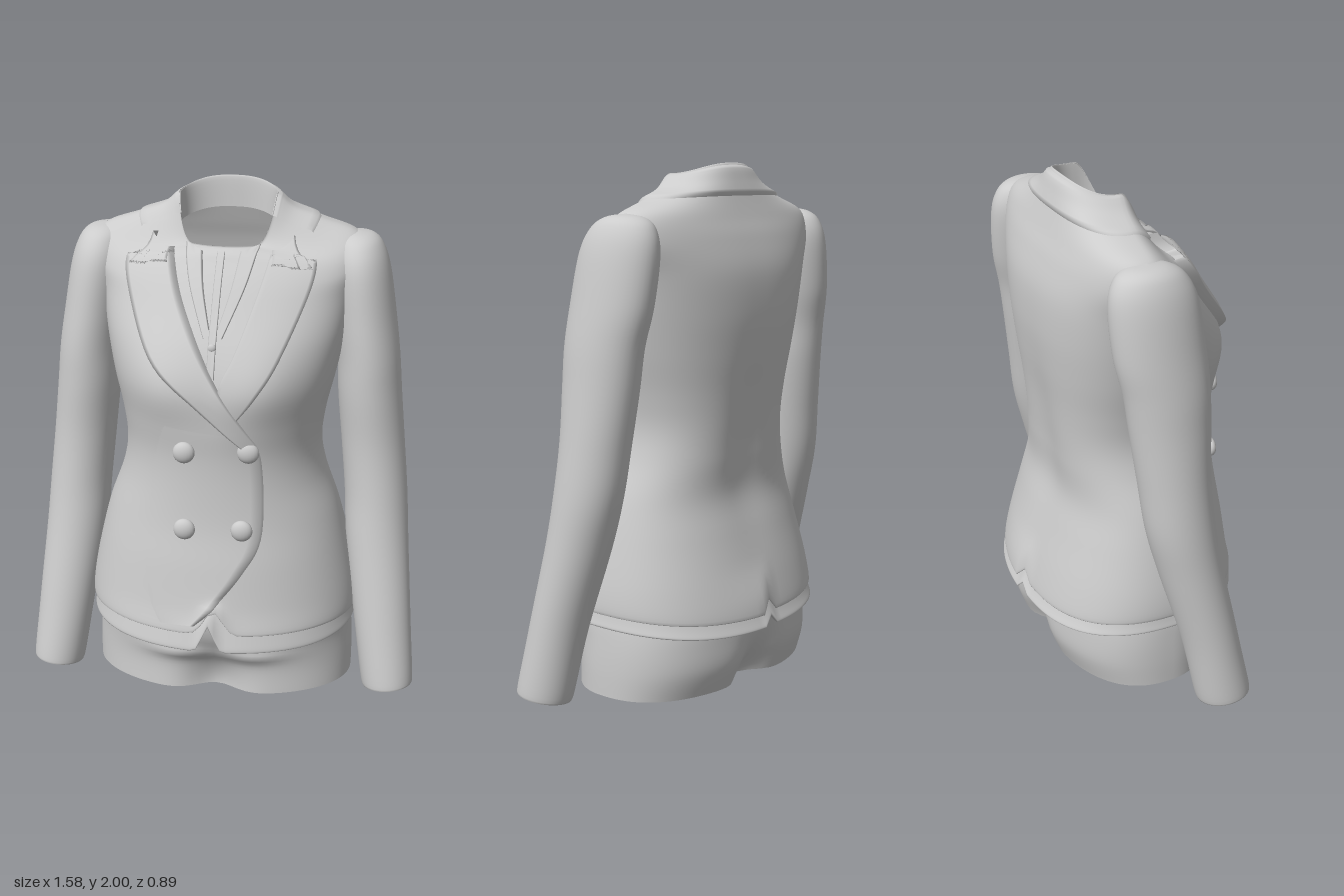
import * as THREE from 'three';

const material = new THREE.MeshStandardMaterial({ color: 0xcccccc, side: THREE.DoubleSide, roughness: 0.8 });
const clamp = THREE.MathUtils.clamp;
const smooth = THREE.MathUtils.smoothstep;
const bump = (d, r) => Math.exp(-(d * d) / (r * r));

// Surface from fn(u, v) -> [x, y, z]; wrap closes it in u
function grid(name, fn, nu, nv, wrap = false) {
  const pos = [], index = [], cols = wrap ? nu : nu + 1;
  for (let j = 0; j <= nv; j++)
    for (let i = 0; i < cols; i++) pos.push(...fn(i / nu, j / nv));
  for (let j = 0; j < nv; j++)
    for (let i = 0; i < nu; i++) {
      const a = j * cols + i, b = j * cols + ((i + 1) % cols), c = a + cols, d = b + cols;
      index.push(a, c, b, b, c, d);
    }
  const g = new THREE.BufferGeometry();
  g.setAttribute('position', new THREE.Float32BufferAttribute(pos, 3));
  g.setIndex(index);
  g.computeVertexNormals();
  const mesh = new THREE.Mesh(g, material);
  mesh.name = name;
  return mesh;
}

// Smooth interpolation of table rows, t in 0..1
function sample(rows, t) {
  const n = rows.length - 1, f = clamp(t, 0, 1) * n, i = Math.min(Math.floor(f), n - 1), k = f - i;
  const [p, q, r, s] = [i - 1, i, i + 1, i + 2].map(m => rows[clamp(m, 0, n)]);
  return q.map((b, c) => {
    const a = p[c], d = r[c], e = s[c];
    return b + 0.5 * k * (d - a + k * (2 * a - 5 * b + 4 * d - e + k * (3 * (b - d) + e - a)));
  });
}

// Body cross-section: row = [yFront, ySide, yBack, halfWidth, zFront, zBack, zCentre]
const N_FRONT = 2.1, N_BACK = 2.5;
function section(row, a) {
  const [yF, yS, yB, w, zf, zb, zc] = row, c = Math.cos(a), s = Math.sin(a);
  const e = 2 / (s > 0 ? N_FRONT : N_BACK), k = Math.abs(s) ** e;
  return [
    w * Math.sign(c) * Math.abs(c) ** e,
    s > 0 ? yS + (yF - yS) * smooth(s, 0, 0.8) : yS + (yB - yS) * s * s,
    zc + ((s > 0 ? zf : zb) - zc) * k,
  ];
}

const JACKET = [
  [0.36, 0.355, 0.32, 0.515, 0.40, -0.40, 0],
  [0.335, 0.33, 0.29, 0.542, 0.427, -0.428, 0],
  [0.43, 0.43, 0.42, 0.535, 0.405, -0.40, 0],
  [0.6, 0.6, 0.6, 0.50, 0.38, -0.35, 0],
  [0.75, 0.75, 0.75, 0.46, 0.355, -0.315, 0],
  [0.9, 0.9, 0.9, 0.405, 0.345, -0.325, 0],
  [1.02, 1.02, 1.02, 0.385, 0.345, -0.335, 0],
  [1.15, 1.15, 1.15, 0.40, 0.355, -0.345, -0.01],
  [1.3, 1.3, 1.3, 0.435, 0.355, -0.36, -0.02],
  [1.45, 1.45, 1.45, 0.465, 0.305, -0.37, -0.04],
  [1.6, 1.6, 1.6, 0.49, 0.215, -0.365, -0.08],
  [1.68, 1.72, 1.72, 0.525, 0.16, -0.335, -0.12],
  [1.735, 1.815, 1.8, 0.50, 0.115, -0.305, -0.13],
  [1.76, 1.865, 1.87, 0.37, 0.095, -0.28, -0.12],
  [1.775, 1.905, 1.93, 0.25, 0.075, -0.26, -0.1],
  [1.78, 1.95, 1.98, 0.195, 0.062, -0.243, -0.09],
  [1.78, 1.955, 1.995, 0.187, 0.06, -0.225, -0.085],
  [1.7, 1.85, 1.88, 0.18, 0.05, -0.218, -0.08],
];
const V_HEM = 1 / 17, V_NECK = 15.5 / 17;

function jacketPoint(t, a) {
  const [x, y, z] = section(sample(JACKET, t), a), low = 1 - smooth(y, 0.33, 0.5);
  if (Math.sin(a) > 0) {
    const bust = 0.03 * bump(Math.abs(x) - 0.2, 0.14) * bump(y - 1.32, 0.16);
    return [x, y + 0.1 * low * bump(x - 0.02, 0.05), z + bust];
  }
  // back vent and spine hollow
  const vent = x > 0 ? 0.02 * low * bump(x, 0.2) : 0;
  return [x, y + 0.05 * low * bump(x, 0.015), z - vent + 0.02 * bump(x, 0.12) * bump(y - 0.95, 0.3)];
}

// Point on the jacket front above a given x, y
function onFront(x, y, off) {
  let a = Math.PI / 2, t = 0;
  for (let i = 0; i < 14; i++) {
    let lo = V_HEM, hi = V_NECK;
    for (let k = 0; k < 16; k++) {
      t = (lo + hi) / 2;
      if (jacketPoint(t, a)[1] < y) lo = t; else hi = t;
    }
    const r = clamp(x / sample(JACKET, t)[3], -0.99, 0.99);
    a = Math.acos(Math.sign(r) * Math.abs(r) ** (N_FRONT / 2));
  }
  const p = jacketPoint(t, a);
  return [p[0] + off * 0.5 * Math.cos(a), p[1] + off * 0.3, p[2] + off];
}

// Cloth piece laid on the front between two edge lines, with height profile h(u)
function drape(name, edgeA, edgeB, h, nv = 36) {
  const [A, B] = [edgeA, edgeB].map(e => new THREE.SplineCurve(e.map(p => new THREE.Vector2(...p))));
  return grid(name, (u, v) => {
    const p = A.getPoint(v).lerp(B.getPoint(v), clamp((u - 0.04) / 0.92, 0, 1));
    return onFront(p.x, p.y, h(u));
  }, 14, nv);
}
const padded = t => u => (u <= 0 || u >= 1 ? -0.008 : t);

function sleeve(side) {
  // [y, x, z, radius x, radius z] from inside the cuff to the shoulder cap
  const rows = [
    [0.2, 0.665, 0.08, 0.095, 0.098], [0.045, 0.687, 0.11, 0.095, 0.1], [0.036, 0.687, 0.11, 0.104, 0.109],
    [0.3, 0.655, 0.06, 0.115, 0.112], [0.6, 0.62, -0.01, 0.125, 0.125], [0.8, 0.605, -0.05, 0.125, 0.135],
    [1.0, 0.585, -0.07, 0.125, 0.14], [1.2, 0.565, -0.08, 0.125, 0.155], [1.35, 0.555, -0.09, 0.121, 0.165],
    [1.5, 0.535, -0.11, 0.12, 0.175], [1.68, 0.51, -0.125, 0.115, 0.168], [1.77, 0.5, -0.135, 0.094, 0.135],
    [1.81, 0.495, -0.14, 0.06, 0.08], [1.822, 0.49, -0.14, 0.002, 0.002],
  ];
  return grid(side > 0 ? 'leftSleeve' : 'rightSleeve', (u, v) => {
    const [y, cx, cz, rx, rz] = sample(rows, v), a = u * Math.PI * 2;
    const x = rx * Math.cos(a), cuff = 1 - smooth(y, 0, 0.25);
    return [side * cx + x, y + cuff * (0.12 * side * x + 0.1 * rz * Math.sin(a)), cz + rz * Math.sin(a)];
  }, 40, 78, true);
}

function button(name, x, y, r) {
  const b = new THREE.Mesh(new THREE.SphereGeometry(r, 20, 14), material);
  b.scale.z = 0.6;
  b.position.set(...onFront(x, y, r > 0.03 ? 0.025 : 0.004));
  b.name = name;
  return b;
}

export function createModel() {
  const model = new THREE.Group();
  model.name = 'jacketOutfit';
  const TAU = Math.PI * 2;

  model.add(grid('jacketBody', (u, v) => jacketPoint(v, u * TAU), 128, 102, true));
  model.add(sleeve(1), sleeve(-1));

  // Collar folded round the back of the neck
  model.add(grid('collar', (u, v) => {
    const a = THREE.MathUtils.lerp(-3.5, 0.36, u), edge = v <= 0 || v >= 1;
    const p = jacketPoint(THREE.MathUtils.lerp(13.1, 15.4, v) / 17, a), off = edge ? -0.004 : 0.012;
    return [p[0] + off * Math.cos(a), p[1] + off * 0.5 * (1 - v), p[2] + off * Math.sin(a)];
  }, 60, 12));

  // Lapels, the right one crossing over the left
  model.add(drape('leftLapel',
    [[0.185, 1.88], [0.185, 1.79], [0.155, 1.66], [0.085, 1.45], [0.03, 1.32], [0.05, 1.22]],
    [[0.26, 1.88], [0.34, 1.78], [0.35, 1.67], [0.25, 1.42], [0.17, 1.29], [0.1, 1.2]], padded(0.022)));
  model.add(drape('rightLapel',
    [[-0.185, 1.88], [-0.185, 1.79], [-0.14, 1.64], [-0.07, 1.5], [0.03, 1.32], [0.175, 1.09]],
    [[-0.26, 1.88], [-0.34, 1.78], [-0.35, 1.67], [-0.24, 1.42], [-0.06, 1.25], [0.13, 1.07]], padded(0.034)));

  // Overlapping front with slanted edge
  model.add(drape('frontOverlap',
    [[-0.2, 1.16], [-0.25, 1.03], [-0.28, 0.73], [-0.28, 0.58], [-0.25, 0.44], [-0.2, 0.36]],
    [[0.15, 1.13], [0.192, 1.03], [0.2, 0.73], [0.13, 0.58], [0.02, 0.44], [-0.05, 0.37]],
    u => (u >= 1 ? -0.008 : 0.024 * u - 0.002)));

  [[-0.095, 1.06], [-0.095, 0.75], [0.12, 0.755], [0.14, 1.07]].forEach(([x, y], i) =>
    model.add(button('jacketButton' + (i + 1), x, y, 0.042)));

  // Shirt collar points, placket and lapel buttonholes
  for (const s of [1, -1]) {
    const m = pts => pts.map(([x, y]) => [s * x, y]);
    model.add(drape(s > 0 ? 'leftShirtCollar' : 'rightShirtCollar',
      m([[0.07, 1.77], [0.05, 1.65], [0.015, 1.52]]), m([[0.14, 1.79], [0.105, 1.66], [0.035, 1.49]]), padded(0.012), 18));
    model.add(drape(s > 0 ? 'leftButtonhole' : 'rightButtonhole',
      m([[0.26, 1.765], [0.285, 1.77], [0.315, 1.775]]), m([[0.265, 1.75], [0.29, 1.755], [0.315, 1.76]]), padded(0.034), 8));
  }
  model.add(drape('shirtPlacket', [[-0.015, 1.77], [-0.015, 1.35]], [[0.015, 1.77], [0.015, 1.35]], padded(0.006), 16));
  model.add(button('shirtButton', 0, 1.46, 0.016));

  // Shirt tail below the jacket hem, split at the front centre
  const tail = [
    [0.28, 0.28, 0.25, 0.51, 0.40, -0.41, 0], [0.262, 0.275, 0.235, 0.537, 0.432, -0.44, 0],
    [0.32, 0.32, 0.29, 0.53, 0.42, -0.418, 0], [0.48, 0.48, 0.46, 0.505, 0.375, -0.36, 0],
  ];
  model.add(grid('shirtTail', (u, v) => {
    const a = u * TAU, [x, y, z] = section(sample(tail, v), a), low = 1 - smooth(y, 0.26, 0.48);
    const front = Math.sin(a) > 0;
    return [x, y + low * (front ? 0.11 * bump(x, 0.03) : 0.04 * bump(x, 0.012)), z - (!front && x > 0 ? 0.008 * low * bump(x, 0.2) : 0)];
  }, 160, 18, true));

  // Hips with hollows between the legs
  const hips = [
    [0, 0, 0, 0.53, 0.295, -0.355, -0.02], [0.1, 0.1, 0.1, 0.53, 0.29, -0.39, -0.02],
    [0.2, 0.2, 0.2, 0.525, 0.305, -0.395, -0.02], [0.3, 0.3, 0.3, 0.515, 0.335, -0.39, 0],
    [0.42, 0.42, 0.42, 0.49, 0.35, -0.36, 0],
  ];
  model.add(grid('trousers', (u, v) => {
    const a = u * TAU, [x, y, z] = section(sample(hips, v), a), s = Math.sin(a), low = 1 - smooth(y, 0, 0.26);
    const hollow = s > 0 ? 0.08 * bump(x, 0.11) : -0.09 * bump(x, 0.09);
    const fold = s > 0 ? 0.018 * bump(y - 0.17, 0.03) * bump(Math.abs(x) - 0.15, 0.13) : 0;
    return [x, y, z - hollow * low + fold];
  }, 112, 24, true));

  return model;
}
